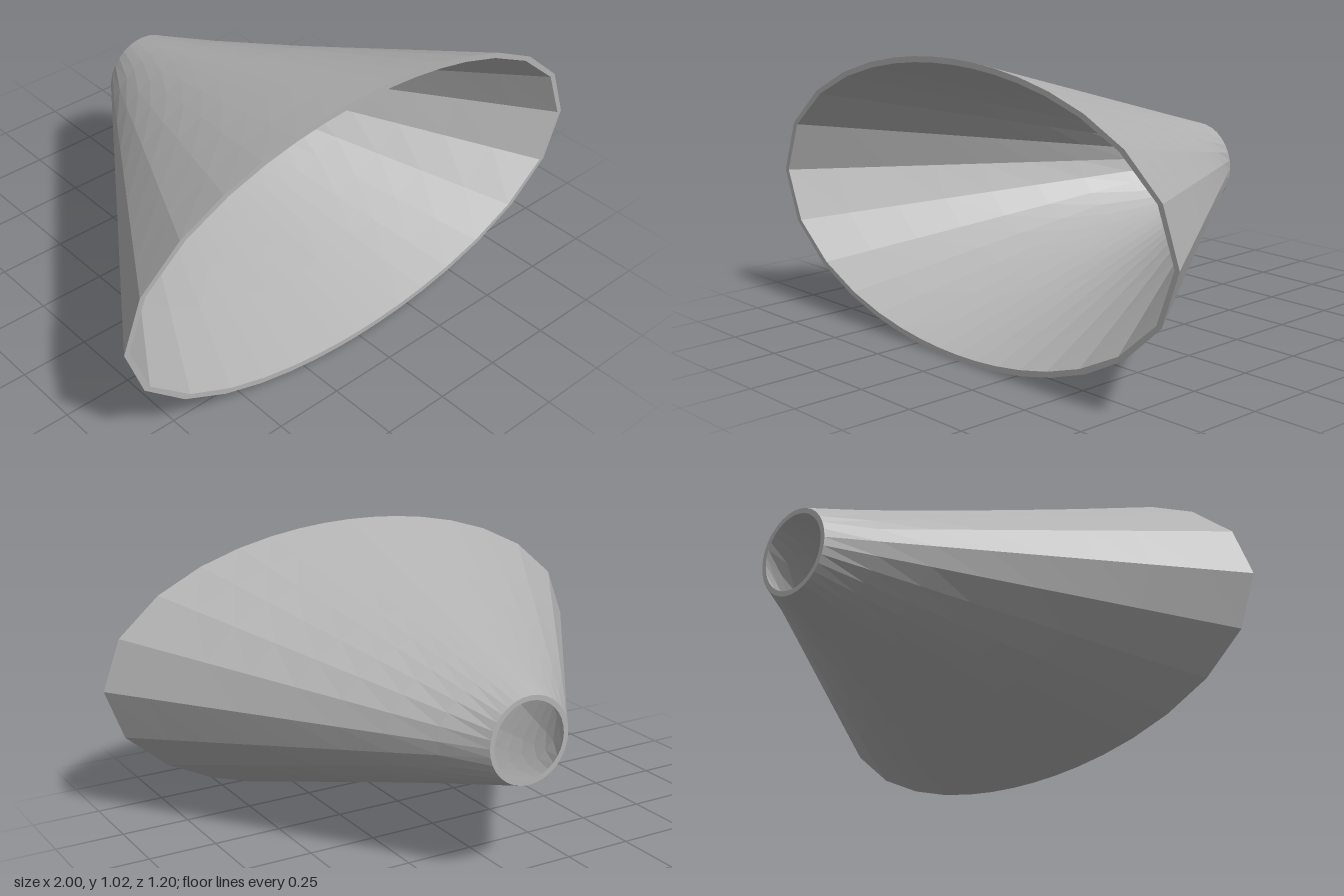
import * as THREE from 'three';

const SEGMENTS = 32, STEPS = 8, CENTRE_Y = 0.511, FRONT = 0.6, BACK = -0.6;

// Radius of an ellipse (half sizes a, b) in the direction t
const ellipse = (a, b, t) => (a * b) / Math.hypot(b * Math.cos(t), a * Math.sin(t));

// Point on a wall that runs straight from the oval mouth (k = 0) to the round neck (k = 1)
function wallPoint(a, b, neck, t, k) {
  const r = THREE.MathUtils.lerp(ellipse(a, b, t), neck, k);
  return [r * Math.cos(t), CENTRE_Y + r * Math.sin(t), THREE.MathUtils.lerp(FRONT, BACK, k)];
}

// Closed shell: outside wall going back, neck rim, inside wall coming forward, mouth rim
function shellGeometry() {
  const positions = [], index = [];
  const ring = 2 * (STEPS + 1);
  for (let i = 0; i < SEGMENTS; i++) {
    const t = (i / SEGMENTS) * Math.PI * 2;
    for (let j = 0; j <= STEPS; j++) positions.push(...wallPoint(1, 0.511, 0.155, t, j / STEPS));
    for (let j = STEPS; j >= 0; j--) positions.push(...wallPoint(0.98, 0.491, 0.137, t, j / STEPS));
  }
  for (let i = 0; i < SEGMENTS; i++) {
    const next = (i + 1) % SEGMENTS;
    for (let j = 0; j < ring; j++) {
      const j2 = (j + 1) % ring;
      const a = i * ring + j, b = i * ring + j2, c = next * ring + j2, d = next * ring + j;
      index.push(a, b, d, b, c, d);
    }
  }
  const indexed = new THREE.BufferGeometry();
  indexed.setAttribute('position', new THREE.Float32BufferAttribute(positions, 3));
  indexed.setIndex(index);
  const geometry = indexed.toNonIndexed();
  geometry.computeVertexNormals(); // one normal per facet
  return geometry;
}

export function createModel() {
  const grey = new THREE.MeshStandardMaterial({ color: 0xb3b3b3, flatShading: true });
  grey.name = 'light grey';

  const group = new THREE.Group();
  group.name = 'funnel';
  const shell = new THREE.Mesh(shellGeometry(), grey);
  shell.name = 'funnelShell';
  group.add(shell);
  return group;
}
